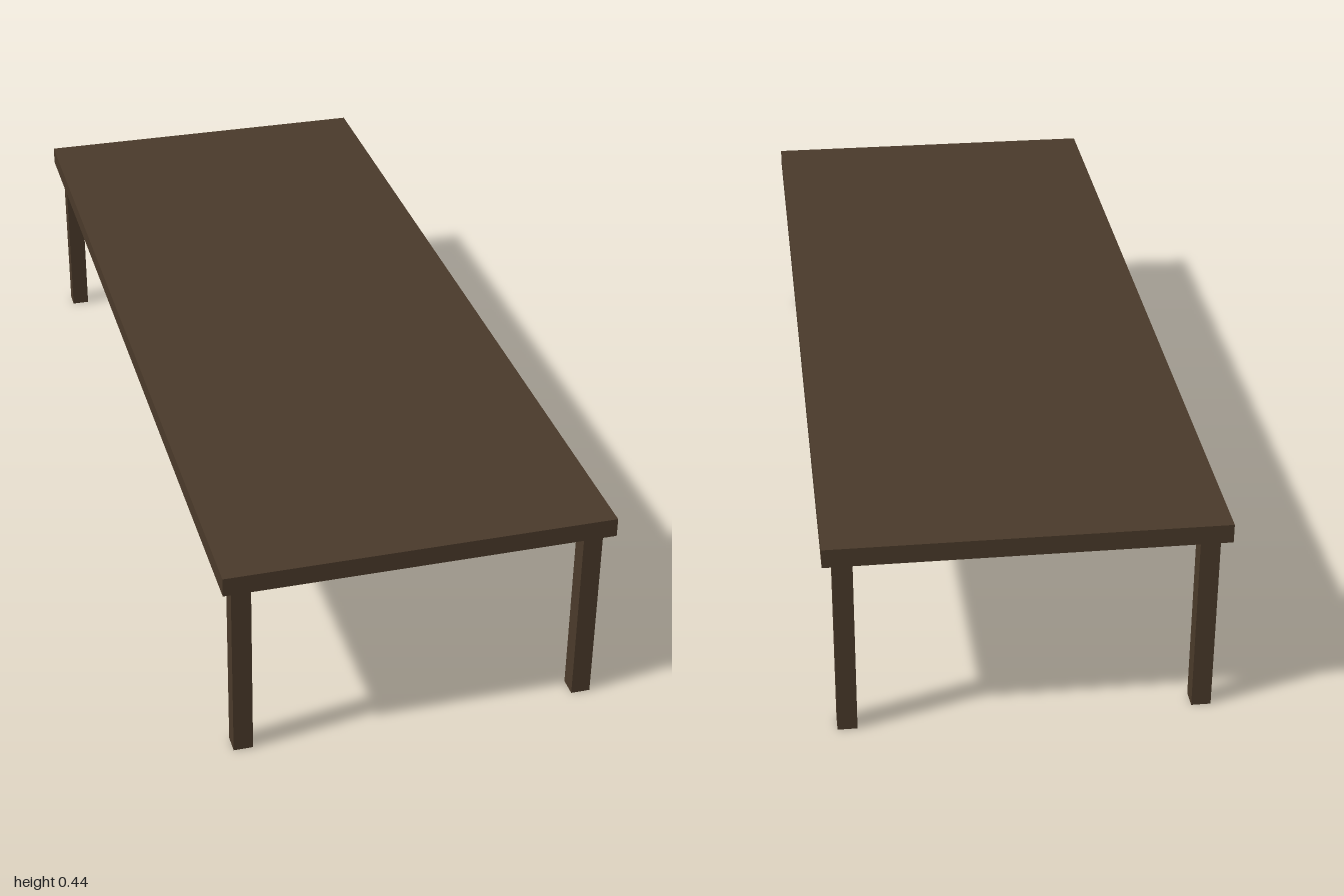
import * as THREE from 'three';

const TOP = { width: 0.8, height: 0.04, length: 2 };
const LEG = { side: 0.04, height: 0.4, inset: 0.02 };

export function createModel() {
  const table = new THREE.Group();
  table.name = 'table';

  const darkWood = new THREE.MeshStandardMaterial({ color: 0x4a3a2a });
  darkWood.name = 'dark wood';

  // Flat slab resting on the legs
  const tabletop = new THREE.Mesh(new THREE.BoxGeometry(TOP.width, TOP.height, TOP.length), darkWood);
  tabletop.name = 'tabletop';
  tabletop.position.y = LEG.height + TOP.height / 2;
  table.add(tabletop);

  // Four square legs, set in slightly from the corners
  const legGeometry = new THREE.BoxGeometry(LEG.side, LEG.height, LEG.side);
  const legX = TOP.width / 2 - LEG.inset - LEG.side / 2;
  const legZ = TOP.length / 2 - LEG.inset - LEG.side / 2;
  for (const [end, sz] of [['front', 1], ['back', -1]]) {
    for (const [side, sx] of [['Left', 1], ['Right', -1]]) {
      const leg = new THREE.Mesh(legGeometry, darkWood);
      leg.name = `${end}${side}Leg`;
      leg.position.set(sx * legX, LEG.height / 2, sz * legZ);
      table.add(leg);
    }
  }

  return table;
}
